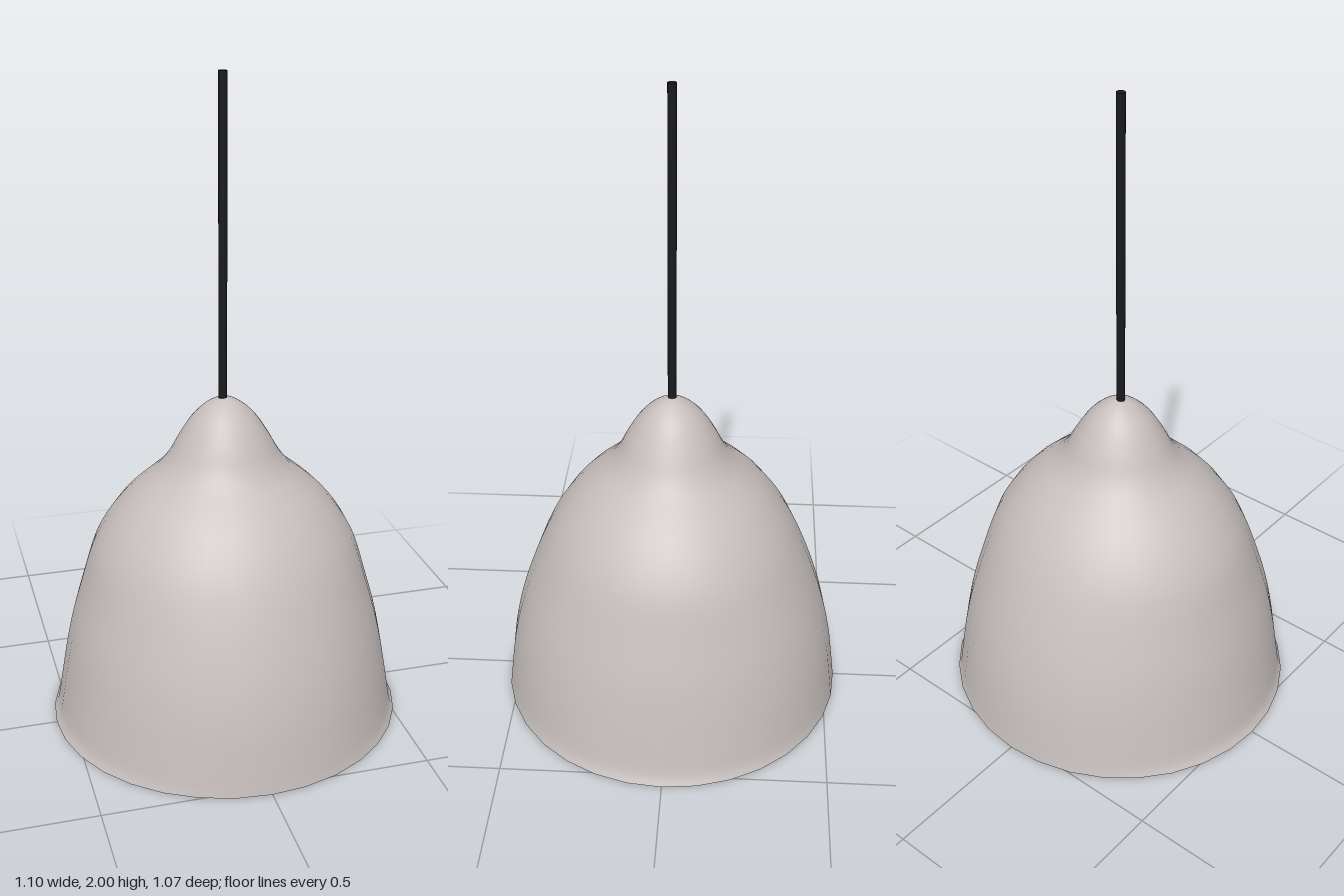
import * as THREE from 'three';
import { toCreasedNormals } from 'three/addons/utils/BufferGeometryUtils.js';

// Shade profile rows: height, half-width across x, half-width across z
const PROFILE = [
  [0, 0.548, 0.537], [0.025, 0.535, 0.534], [0.1, 0.521, 0.525], [0.2, 0.504, 0.511],
  [0.32, 0.48, 0.484], [0.45, 0.444, 0.442], [0.58, 0.404, 0.388], [0.66, 0.36, 0.342],
  [0.73, 0.304, 0.288], [0.78, 0.25, 0.237], [0.82, 0.203, 0.195], [0.86, 0.171, 0.165],
  [0.92, 0.137, 0.135], [0.98, 0.098, 0.097], [1.02, 0.057, 0.057], [1.04, 0.022, 0.022],
  [1.046, 0.001, 0.001],
];
const WALL = 0.006;

export function createModel() {
  const group = new THREE.Group();
  const shadeMaterial = new THREE.MeshStandardMaterial({ color: 0xc8c0bf });
  shadeMaterial.name = 'warm grey';
  const cordMaterial = new THREE.MeshStandardMaterial({ color: 0x1a1a1c });
  cordMaterial.name = 'black';

  // Outer wall up to the tip, inner wall back down, then the flat rim
  const curve = new THREE.CatmullRomCurve3(PROFILE.map(([y, rx, rz]) => new THREE.Vector3(rx, y, rz)));
  const outer = curve.getPoints(56);
  const inner = outer.map(p => new THREE.Vector3(
    Math.max(p.x - WALL, 0.001), p.y * (1 - WALL), Math.max(p.z - WALL, 0.001))).reverse();
  const rows = [...outer, ...inner, outer[0]];
  const bell = new THREE.LatheGeometry(rows.map(p => new THREE.Vector2(p.x, p.y)), 32);

  // Ease the round section into its slightly narrower depth
  const position = bell.attributes.position;
  for (let i = 0; i < position.count; i++) {
    const row = rows[i % rows.length];
    position.setZ(i, position.getZ(i) * row.z / row.x);
  }
  const shade = new THREE.Mesh(toCreasedNormals(bell, 0.9), shadeMaterial);
  shade.name = 'shade';
  group.add(shade);

  // Hanging cord
  const cord = new THREE.Mesh(new THREE.CylinderGeometry(0.013, 0.013, 0.97, 16), cordMaterial);
  cord.name = 'cord';
  cord.position.set(-0.004, 1.515, 0);
  group.add(cord);

  return group;
}
